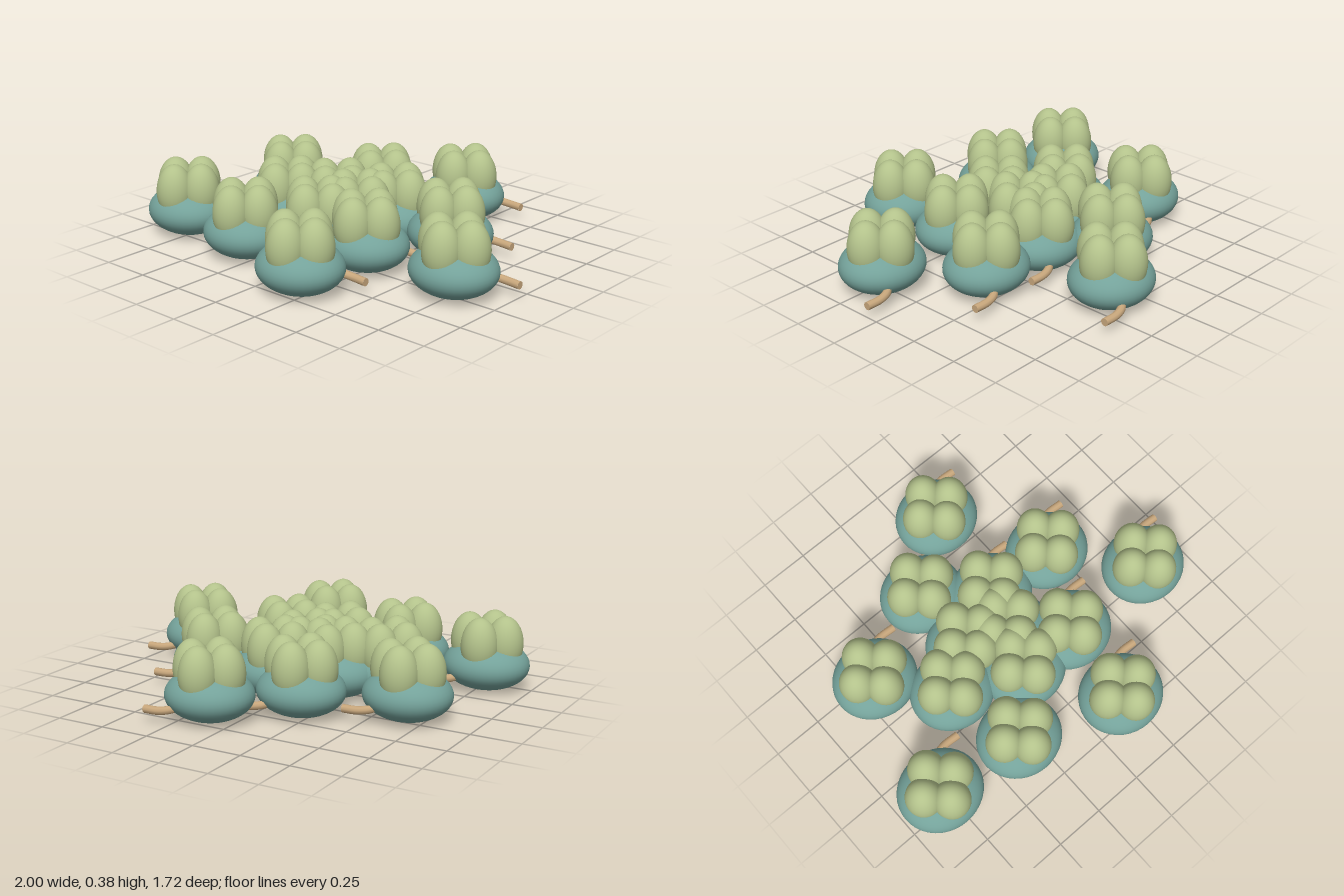
import * as THREE from 'three';

export function createModel() {
  const group = new THREE.Group();
  group.name = 'fruitCluster';

  const teal = new THREE.MeshStandardMaterial({ name: 'teal green', color: 0x74a29a });
  const pale = new THREE.MeshStandardMaterial({ name: 'pale green', color: 0xb3c28b });
  const tan = new THREE.MeshStandardMaterial({ name: 'tan', color: 0xc8a77c });

  // Shared shapes: squashed body, tall lobe, bent stem with its end cap
  const bodyGeo = new THREE.SphereGeometry(1, 40, 24).scale(0.217, 0.124, 0.2);
  const lobeGeo = new THREE.SphereGeometry(1, 28, 20).scale(0.092, 0.14, 0.092);
  const stemPath = new THREE.CatmullRomCurve3([
    [0.07, 0.1, -0.11], [0.115, 0.08, -0.155], [0.17, 0.07, -0.17], [0.25, 0.066, -0.167],
  ].map((p) => new THREE.Vector3(...p)));
  const stemGeo = new THREE.TubeGeometry(stemPath, 14, 0.02, 10);
  const capGeo = new THREE.CircleGeometry(0.02, 10).rotateY(Math.PI / 2).translate(0.25, 0.066, -0.167);

  function add(parent, name, geometry, material, x = 0, y = 0, z = 0) {
    const mesh = new THREE.Mesh(geometry, material);
    mesh.name = name;
    mesh.position.set(x, y, z);
    parent.add(mesh);
  }

  // Ground position (x, z) of each fruit
  const spots = [
    [0.13, -0.665], [-0.2, -0.39], [-0.66, -0.2], [0.07, -0.17], [0.435, -0.155],
    [-0.41, 0.095], [-0.195, -0.04], [0, 0.03], [-0.07, 0.24], [0.235, 0.24],
    [0.75, 0.225], [-0.78, 0.44], [-0.32, 0.49], [0.2, 0.655],
  ];

  spots.forEach(([x, z], i) => {
    const fruit = new THREE.Group();
    fruit.name = `fruit${i + 1}`;
    fruit.position.set(x, 0, z);
    add(fruit, 'body', bodyGeo, teal, 0, 0.13, 0);
    // Four lobes in a cross
    for (let k = 0; k < 4; k++) {
      const a = (k * Math.PI) / 2;
      add(fruit, 'lobe', lobeGeo, pale, 0.094 * Math.cos(a), 0.244, 0.094 * Math.sin(a));
    }
    add(fruit, 'stem', stemGeo, tan);
    add(fruit, 'stemEnd', capGeo, tan);
    group.add(fruit);
  });

  return group;
}
